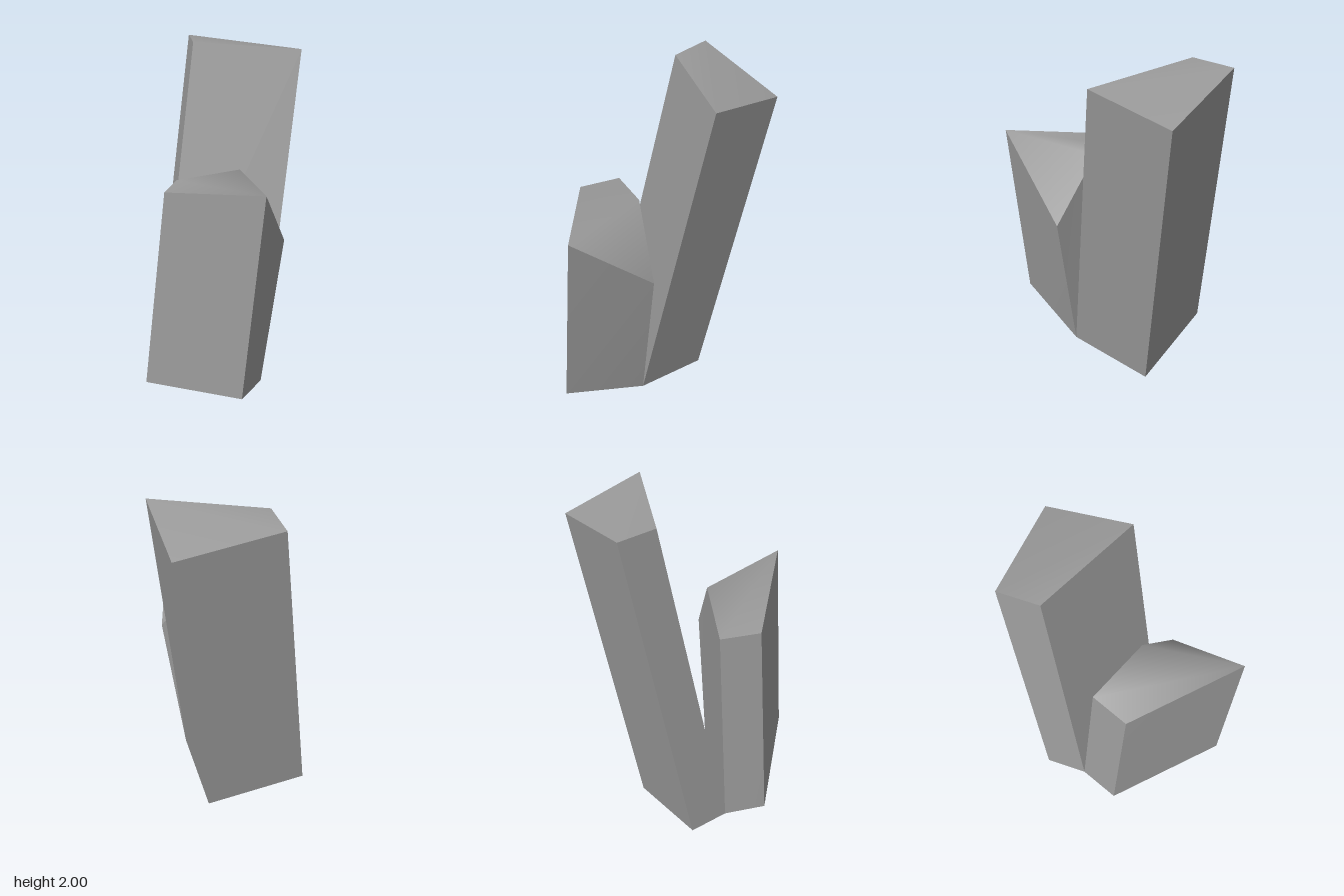
import * as THREE from 'three';
import { mergeGeometries } from 'three/addons/utils/BufferGeometryUtils.js';

// One facet: a fan of triangles with normals smoothed inside the facet only
function facet(corners) {
  const geometry = new THREE.BufferGeometry();
  geometry.setAttribute('position', new THREE.Float32BufferAttribute(corners.flat(), 3));
  const index = [];
  for (let i = 1; i < corners.length - 1; i++) index.push(0, i, i + 1);
  geometry.setIndex(index);
  geometry.computeVertexNormals();
  return geometry;
}

// Hollow crystal: side walls plus a slanted tip, open underneath.
// Both rings run counter-clockwise as seen from above.
function crystal(name, base, top, material) {
  const walls = base.map((corner, i) => {
    const j = (i + 1) % base.length;
    return facet([corner, base[j], top[j], top[i]]);
  });
  const mesh = new THREE.Mesh(mergeGeometries([...walls, facet(top)]), material);
  mesh.name = name;
  return mesh;
}

export function createModel() {
  const group = new THREE.Group();
  group.name = 'crystalCluster';
  const material = new THREE.MeshStandardMaterial({ color: 0x9a9a9a, side: THREE.DoubleSide });

  // Tall crystal: a leaning prism
  const tallTop = [[-0.235, 2, -0.575], [-0.19, 2, -0.34], [0.43, 2, -0.16], [0.34, 1.9, -0.635]];
  const tallBase = [[-0.435, 0.105, -0.265], [-0.39, 0.105, -0.03], [0.23, 0.105, 0.15], [0.14, 0, -0.325]];
  group.add(crystal('tallCrystal', tallBase, tallTop, material));

  // Short crystal: broken tip with an extra corner along its back wall
  const shortBase = [[0.14, 0.225, 0.625], [0.23, 0.105, 0.15], [-0.02, 0.105, 0.077], [-0.39, 0.105, -0.03], [-0.435, 0.105, 0.21]];
  const shortTop = [[0.26, 1.39, 0.635], [0.353, 0.985, 0.16], [0.1, 1.37, 0.09], [-0.265, 1.27, -0.013], [-0.31, 1.27, 0.22]];
  group.add(crystal('shortCrystal', shortBase, shortTop, material));

  return group;
}
